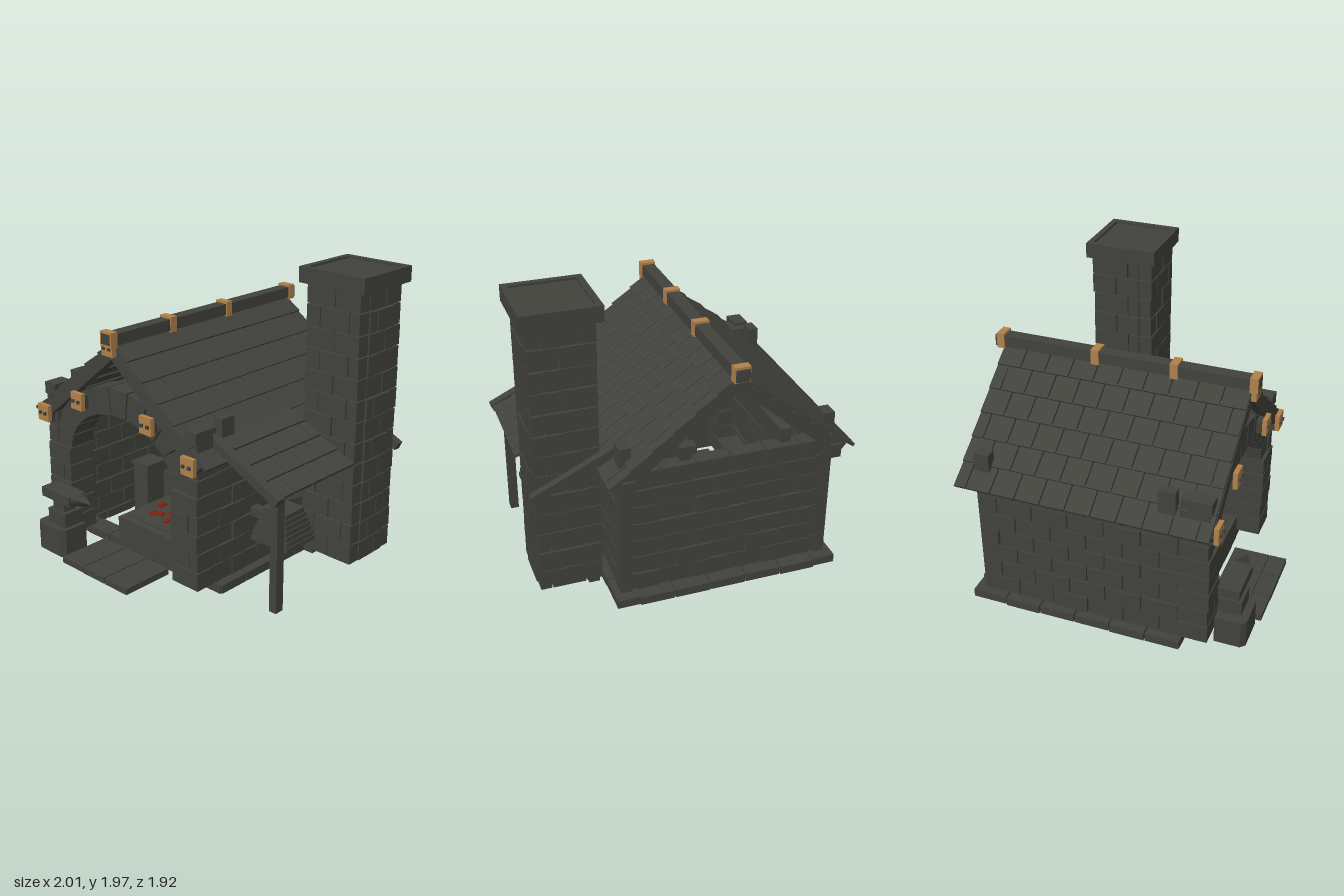
import * as THREE from 'three';
import { mergeGeometries } from 'three/addons/utils/BufferGeometryUtils.js';

const mat = (name, color) => {
  const m = new THREE.MeshStandardMaterial({ color });
  m.name = name;
  return m;
};

export function createModel() {
  const root = new THREE.Group();
  root.name = 'forgeHut';
  const stone = mat('dark stone', 0x41423c);
  const copper = mat('copper', 0xb08049);
  const ember = mat('ember red', 0x8c1a08);

  let seed = 7;
  const rand = () => (seed = (seed * 16807) % 2147483647) / 2147483647;

  // Axis-aligned block from its limits
  const box = (x0, x1, y0, y1, z0, z1) =>
    new THREE.BoxGeometry(x1 - x0, y1 - y0, z1 - z0)
      .translate((x0 + x1) / 2, (y0 + y1) / 2, (z0 + z1) / 2);

  // Sloping timber in the xy plane between two points
  const beam = (xa, ya, xb, yb, thick, z0, z1) =>
    new THREE.BoxGeometry(Math.hypot(xb - xa, yb - ya), thick, z1 - z0)
      .rotateZ(Math.atan2(yb - ya, xb - xa))
      .translate((xa + xb) / 2, (ya + yb) / 2, (z0 + z1) / 2);

  const add = (name, geos, material = stone) => {
    const mesh = new THREE.Mesh(mergeGeometries(geos.map(g => g.toNonIndexed())), material);
    mesh.name = name;
    root.add(mesh);
    return mesh;
  };

  // Splits a length into staggered pieces
  const split = (a, b, len, odd, fn) => {
    let s = a;
    let e = a + (odd ? len / 2 : len);
    while (s < b - 0.02) {
      if (b - e < 0.05) e = b;
      fn(s, e);
      s = e;
      e += len;
    }
  };

  // Courses of loose bricks along x or z with open joints
  const bricks = (axis, a, b, c0, c1, y0, y1, rows, len, shift = 0) => {
    const out = [];
    const h = (y1 - y0) / rows;
    const gap = 0.004;
    for (let r = 0; r < rows; r++) {
      split(a, b, len, (r + shift) % 2, (s, e) => {
        const j = rand() * 0.01;
        const lo = y0 + r * h + gap;
        const hi = y0 + (r + 1) * h - gap;
        out.push(axis === 'x'
          ? box(s + gap, e - gap, lo, hi, c0 - j, c1 + j)
          : box(c0 - j, c1 + j, lo, hi, s + gap, e - gap));
      });
    }
    return out;
  };

  // Overlapping staggered shingles from ridge to eave
  const shingles = (xa, ya, xb, yb, z0, z1, rows, width) => {
    const out = [];
    for (let r = 0; r < rows; r++) {
      const t0 = Math.max(0, (r - 0.2) / rows);
      const t1 = (r + 1) / rows;
      split(z0, z1, width, r % 2, (s, e) => out.push(beam(
        xa + (xb - xa) * t0, ya + (yb - ya) * t0 - 0.03,
        xa + (xb - xa) * t1, ya + (yb - ya) * t1 - 0.012,
        0.02, s + 0.004, e - 0.004)));
    }
    return out;
  };

  const CX = -0.21;

  // Foundation ring and front steps
  add('plinth', [
    ...bricks('z', -0.88, 0.55, -0.95, -0.8, 0.01, 0.075, 1, 0.24),
    ...bricks('z', -0.88, 0.55, 0.39, 0.53, 0.01, 0.075, 1, 0.24),
    ...bricks('x', -0.8, 0.39, -0.88, -0.73, 0.01, 0.075, 1, 0.24),
    ...bricks('x', -0.95, 0.53, 0.43, 0.55, 0.01, 0.075, 1, 0.22),
  ]);
  add('frontSteps', [
    ...bricks('x', -0.52, 0.11, 0.6, 0.83, 0.005, 0.055, 1, 0.21),
    ...bricks('x', -0.52, 0.11, 0.85, 0.95, 0.005, 0.055, 1, 0.21),
  ]);

  // Brick walls, open above at the back gable
  add('leftWall', bricks('z', -0.8, 0.52, -0.9, -0.8, 0.075, 0.94, 7, 0.24));
  add('rightWall', bricks('z', -0.8, 0.52, 0.39, 0.48, 0.075, 0.94, 7, 0.24));
  add('backWall', bricks('x', -0.8, 0.39, -0.8, -0.71, 0.075, 0.94, 7, 0.23, 1));
  add('backCornerPosts', [-0.865, 0.455].map(x =>
    box(x - 0.036, x + 0.036, 0.075, 1.12, -0.81, -0.71)));

  // Front piers with corner stones rising through the roof
  const piers = [];
  for (const s of [-1, 1]) {
    const span = (a, b) => [Math.min(CX + s * a, CX + s * b), Math.max(CX + s * a, CX + s * b)];
    piers.push(...bricks('x', ...span(0.475, 0.7), 0.52, 0.71, 0.075, 0.7, 5, 0.3));
    piers.push(...bricks('x', ...span(0.6, 0.7), 0.53, 0.7, 0.7, 1.04, 3, 0.3));
    piers.push(box(...span(0.6, 0.7), 1.04, 1.12, 0.58, 0.72));
    piers.push(box(...span(0.55, 0.67), 0.94, 1.1, 0.52, 0.66));
    piers.push(box(...span(0.64, 0.7), 0.94, 1.15, 0.39, 0.5));
  }
  add('frontPiers', piers);

  // Arch stones between two ellipses
  const arch = [];
  const N = 11;
  for (let i = 0; i < N; i++) {
    const a = (i + 0.04) / N * Math.PI;
    const b = (i + 0.96) / N * Math.PI;
    const pt = (rx, ry, t) => new THREE.Vector2(CX + rx * Math.cos(t), 0.7 + ry * Math.sin(t));
    const shape = new THREE.Shape([
      pt(0.475, 0.34, a), pt(0.63, 0.52, a), pt(0.63, 0.52, b), pt(0.475, 0.34, b)]);
    arch.push(new THREE.ExtrudeGeometry(shape, { depth: 0.18, bevelEnabled: false }).translate(0, 0, 0.52));
  }
  add('archStones', arch);

  // Roof covering, rafters and long timbers
  for (const s of [-1, 1]) {
    const side = s > 0 ? 'right' : 'left';
    add(side + 'RoofShingles', shingles(CX, 1.55, CX + s * 0.79, 0.93, -0.91, 0.74, 6, 0.165));
    add(side + 'Rafters', [[0.67, 0.74], [-0.88, -0.81]].map(([z0, z1]) =>
      beam(CX, 1.48, CX + s * 0.72, 0.89, 0.085, z0, z1)));
    add(side + 'Purlins', [[0.67, 0.9], [0.32, 1.08]].map(([dx, y]) =>
      box(CX + s * dx - 0.035, CX + s * dx + 0.035, y - 0.05, y + 0.04, -0.9, 0.74)));
  }
  add('ridgeBeam', [box(CX - 0.042, CX + 0.042, 1.52, 1.595, -0.96, 0.77)]);

  // Copper clamps and bolted plates
  add('ridgeClamps', [0.755, 0.25, -0.27, -0.92].map(z =>
    box(CX - 0.05, CX + 0.05, 1.51, 1.61, z - 0.026, z + 0.026)), copper);
  add('ridgeBeamEnd', [box(CX - 0.038, CX + 0.038, 1.53, 1.597, 0.775, 0.784)]);
  const plates = [[-0.88, 0.92], [-0.53, 1.085], [0.11, 1.085], [0.46, 0.92]];
  add('beamPlates', [...plates.map(([x, y]) =>
    box(x - 0.052, x + 0.052, y - 0.057, y + 0.057, 0.742, 0.772)),
    box(CX - 0.05, CX + 0.05, 1.455, 1.53, 0.742, 0.775)], copper);
  add('plateBolts', [...plates, [CX, 1.505]].flatMap(([x, y]) => [-0.025, 0.025].map(d =>
    box(x + d - 0.01, x + d + 0.01, y - 0.01, y + 0.01, 0.77, 0.785))));

  // Chimney of hollow brick courses with a recessed cap
  const [cx0, cx1, cz0, cz1] = [0.55, 0.96, -0.615, -0.205];
  add('chimney', [
    ...bricks('x', cx0, cx1, cz1 - 0.08, cz1, 0.075, 1.88, 13, 0.22),
    ...bricks('x', cx0, cx1, cz0, cz0 + 0.08, 0.075, 1.88, 13, 0.22, 1),
    ...bricks('z', cz0 + 0.08, cz1 - 0.08, cx0, cx0 + 0.08, 0.075, 1.88, 13, 0.17),
    ...bricks('z', cz0 + 0.08, cz1 - 0.08, cx1 - 0.08, cx1, 0.075, 1.88, 13, 0.17, 1),
    box(0.57, 0.64, 0.04, 0.08, -0.3, -0.22),
    box(0.57, 0.64, 0.04, 0.08, -0.6, -0.52),
  ]);
  add('chimneyCap', [
    box(0.51, 1, 1.87, 1.97, -0.205, -0.165),
    box(0.51, 1, 1.87, 1.97, -0.65, -0.61),
    box(0.51, 0.55, 1.87, 1.97, -0.61, -0.205),
    box(0.96, 1, 1.87, 1.97, -0.61, -0.205),
    box(0.55, 0.96, 1.87, 1.955, -0.61, -0.205),
  ]);

  // Side lean-to
  add('leanToShingles', shingles(0.46, 1.06, 0.98, 0.81, -0.17, 0.51, 4, 0.165));
  add('leanToRafters', [
    beam(0.36, 1.08, 0.985, 0.78, 0.055, 0.515, 0.575),
    beam(0.46, 1.03, 0.985, 0.78, 0.055, -0.67, -0.62),
  ]);
  add('leanToPost', [box(0.87, 0.925, 0.005, 0.82, 0.425, 0.49)]);

  // Stepped bellows with nozzle and lever
  const bellows = [box(0.58, 0.87, 0.33, 0.36, 0.06, 0.33), box(0.46, 0.62, 0.425, 0.485, 0.165, 0.225)];
  for (let i = 0; i < 6; i++) {
    const w = 0.137 - i * 0.0085;
    bellows.push(box(0.725 - w, 0.725 + w, 0.36 + i * 0.032, 0.392 + i * 0.032, 0.195 - w * 0.95, 0.195 + w * 0.95));
  }
  add('bellows', bellows);
  add('bellowsLever', [beam(0.66, 0.58, 0.88, 0.7, 0.035, 0.2, 0.235)]);

  // Forge hearth, back stones and side blocks
  add('hearth', [
    box(-0.39, 0.2, 0.06, 0.25, 0.12, 0.57),
    box(-0.33, 0.13, 0.25, 0.262, 0.17, 0.52),
    box(-0.33, 0.08, 0.25, 0.5, 0.04, 0.12),
    box(0.08, 0.27, 0.06, 0.48, 0.0, 0.16),
    box(0.1, 0.26, 0.48, 0.53, 0.02, 0.14),
    box(-0.44, -0.33, 0.06, 0.42, -0.1, 0.1),
    box(-0.44, 0.25, 0.59, 0.69, -0.71, -0.6),
  ]);
  add('storageBlock', [box(-0.68, -0.54, 0.06, 0.42, 0.0, 0.16), box(-0.69, -0.53, 0.42, 0.445, -0.01, 0.17)]);
  const coals = [];
  for (let i = 0; i < 16; i++) {
    coals.push(new THREE.DodecahedronGeometry(0.026).scale(1, 0.45, 1)
      .rotateY(rand() * 3).translate(-0.28 + (i % 8) * 0.05, 0.269, 0.24 + rand() * 0.2));
  }
  add('hotCoals', coals, ember);
  add('toolHandle', [box(-0.062, -0.038, 0.262, 0.31, 0.2, 0.27)], copper);

  // Anvil on a chamfered stump
  const stump = new THREE.Shape([[-0.81, -0.73], [-0.54, -0.73], [-0.54, -0.9], [-0.57, -0.93],
    [-0.78, -0.93], [-0.81, -0.9]].map(p => new THREE.Vector2(...p)));
  add('anvilStump', [new THREE.ExtrudeGeometry(stump, { depth: 0.19, bevelEnabled: false })
    .rotateX(-Math.PI / 2).translate(0, 0.02, 0)]);
  add('anvil', [
    box(-0.74, -0.57, 0.21, 0.31, 0.73, 0.88),
    box(-0.71, -0.6, 0.31, 0.385, 0.76, 0.86),
    box(-0.8, -0.52, 0.38, 0.445, 0.74, 0.88),
    new THREE.ConeGeometry(0.08, 0.14, 4).rotateY(Math.PI / 4).rotateZ(-Math.PI / 2)
      .scale(1, 0.55, 1).translate(-0.45, 0.415, 0.81),
  ]);

  return root;
}
